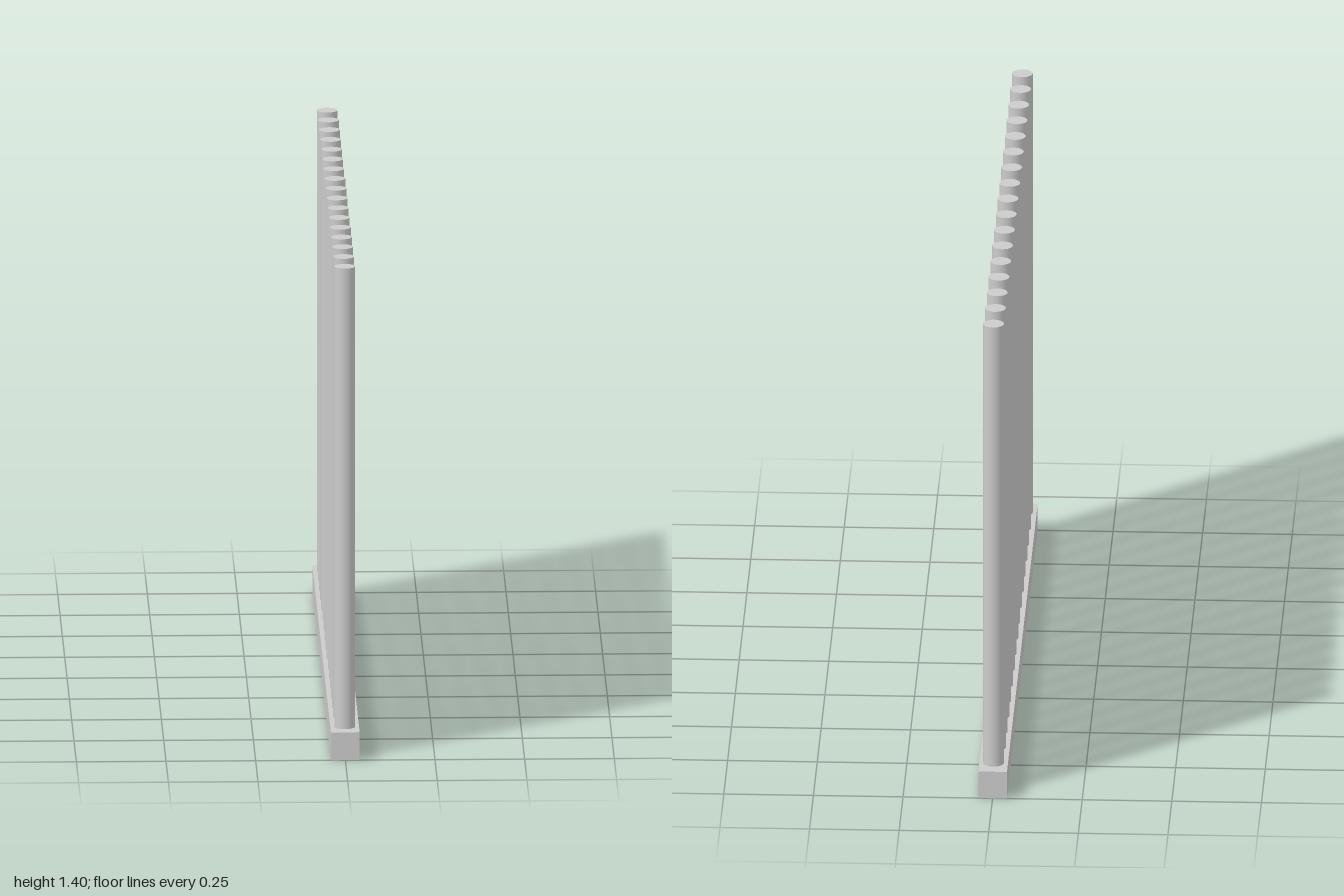
import * as THREE from 'three';

export function createModel() {
  const group = new THREE.Group();
  const material = new THREE.MeshStandardMaterial({ color: 0xcccccc });

  const baseHeight = 0.08, topHeight = 1.4, barRadius = 0.029;
  const barCount = 17, barSpan = 1.866;

  // Base rail running front to back
  const base = new THREE.Mesh(new THREE.BoxGeometry(0.08, baseHeight, 2), material);
  base.name = 'baseRail';
  base.position.y = baseHeight / 2;
  group.add(base);

  // Evenly spaced round bars standing on the rail
  const bars = new THREE.Group();
  bars.name = 'bars';
  const barHeight = topHeight - baseHeight;
  const barGeometry = new THREE.CylinderGeometry(barRadius, barRadius, barHeight, 32);
  for (let i = 0; i < barCount; i++) {
    const bar = new THREE.Mesh(barGeometry, material);
    bar.name = `bar${i + 1}`;
    bar.position.set(0, baseHeight + barHeight / 2, (i / (barCount - 1) - 0.5) * barSpan);
    bars.add(bar);
  }
  group.add(bars);

  return group;
}
